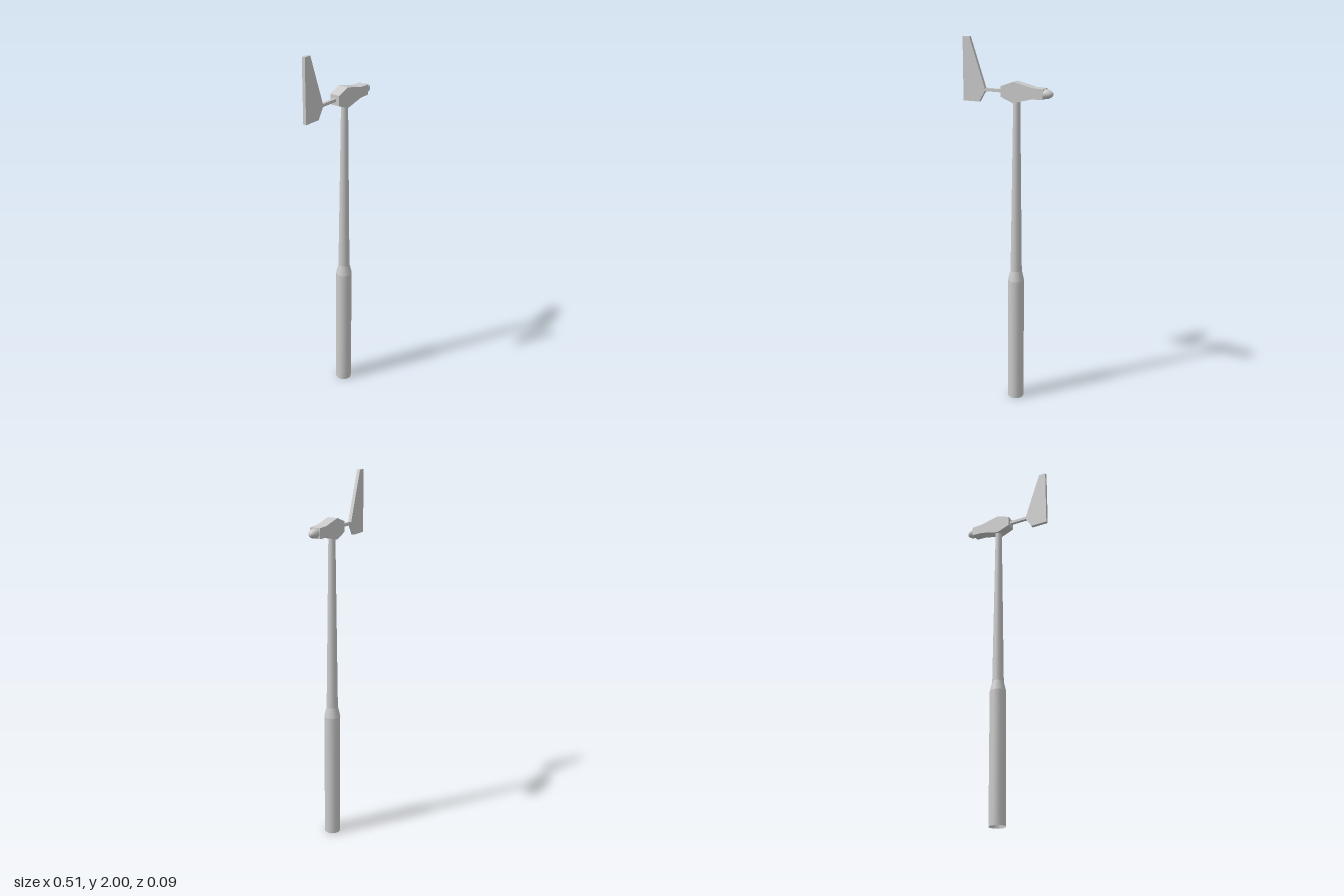
import * as THREE from 'three';

const material = new THREE.MeshStandardMaterial({ color: 0xcccccc });
const openMaterial = new THREE.MeshStandardMaterial({ color: 0xcccccc, side: THREE.DoubleSide });

const TOWER_X = 0.053;
const AXIS_Y = 1.735;

function addMesh(group, name, geometry, mat = material) {
  const mesh = new THREE.Mesh(geometry, mat);
  mesh.name = name;
  group.add(mesh);
  return mesh;
}

// Flat side profile given thickness along z, centred on z = 0
function plate(points, thickness) {
  const shape = new THREE.Shape(points.map(([x, y]) => new THREE.Vector2(x, y)));
  const geometry = new THREE.ExtrudeGeometry(shape, { depth: thickness, bevelEnabled: false });
  return geometry.translate(0, 0, -thickness / 2);
}

export function createModel() {
  const model = new THREE.Group();
  model.name = 'windTurbine';

  // Tower: straight base, short shoulder, long taper, open at the foot
  const tower = new THREE.Group();
  tower.name = 'tower';
  tower.position.x = TOWER_X;
  model.add(tower);
  const rings = [[0, 0.044], [0.71, 0.044], [0.765, 0.031], [1.7, 0.018]];
  const names = ['towerBase', 'towerShoulder', 'towerShaft'];
  names.forEach((name, i) => {
    const [y0, r0] = rings[i];
    const [y1, r1] = rings[i + 1];
    const section = new THREE.CylinderGeometry(r1, r0, y1 - y0, 16, 1, true);
    addMesh(tower, name, section, openMaterial).position.y = (y0 + y1) / 2;
  });

  // Nacelle: slab with a peaked back and belly, narrowing to the front
  addMesh(model, 'nacelle', plate([
    [-0.026, 1.708], [0.045, 1.68], [0.15, 1.707], [0.212, 1.709],
    [0.212, 1.762], [0.152, 1.764], [0.045, 1.788], [-0.026, 1.762],
  ], 0.056));

  // Rounded nose cone pointing along +x
  const nose = new THREE.SphereGeometry(1, 16, 6, 0, Math.PI * 2, 0, Math.PI / 2);
  nose.rotateZ(-Math.PI / 2).scale(0.045, 0.025, 0.027);
  addMesh(model, 'nose', nose, openMaterial).position.set(0.211, AXIS_Y, 0);

  // Tail boom and upright tail fin
  const boom = addMesh(model, 'tailBoom', new THREE.BoxGeometry(0.112, 0.016, 0.017));
  boom.position.set(-0.076, AXIS_Y, 0);
  addMesh(model, 'tailFin', plate([
    [-0.256, 1.67], [-0.162, 1.67], [-0.128, 1.728],
    [-0.128, 1.742], [-0.217, 2], [-0.256, 2],
  ], 0.018));

  return model;
}
